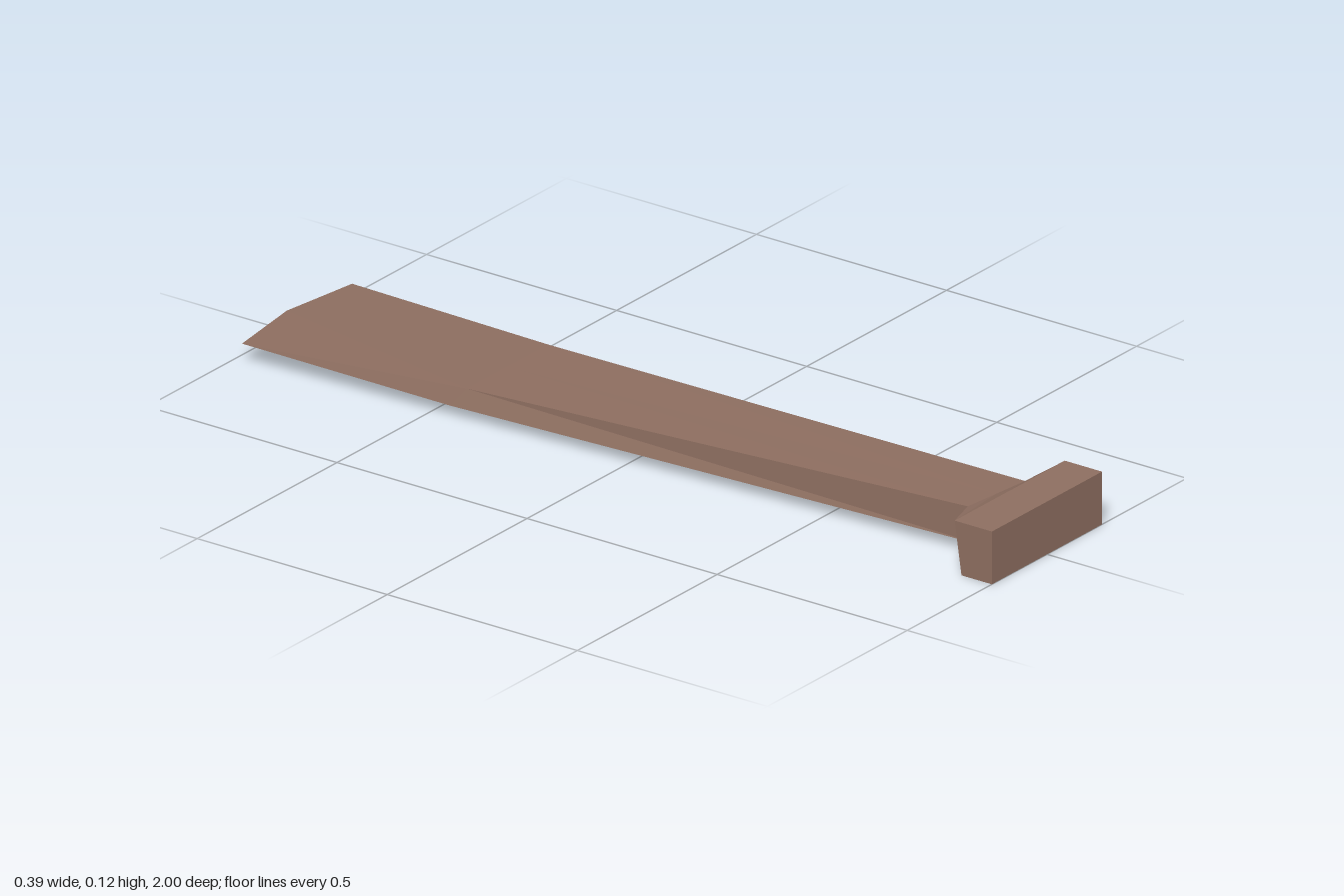
import * as THREE from 'three';

// Ring of six points: top left, centre, right, then bottom right, centre, left
function ring(topX, topY, topZ, lowX, lowY, lowZ, skew = 0, tip = 0) {
  return [
    [-topX, topY, topZ - skew], [0, topY, topZ - tip], [topX, topY, topZ + skew],
    [lowX, lowY, lowZ], [0, lowY, lowZ - tip], [-lowX, lowY, lowZ],
  ];
}

// Skin consecutive rings (front to back), optionally capping the front
function loft(rings, capFront) {
  const pos = [];
  const quad = (a, b, c, d) => pos.push(...a, ...b, ...c, ...a, ...c, ...d);
  for (let r = 0; r < rings.length - 1; r++) {
    const p = rings[r], q = rings[r + 1];
    for (let i = 0; i < 6; i++) {
      const j = (i + 1) % 6;
      quad(p[i], p[j], q[j], q[i]);
    }
  }
  if (capFront) {
    const p = rings[0];
    quad(p[0], p[5], p[4], p[1]);
    quad(p[1], p[4], p[3], p[2]);
  }
  const geo = new THREE.BufferGeometry();
  geo.setAttribute('position', new THREE.Float32BufferAttribute(pos, 3));
  geo.computeVertexNormals();
  return geo;
}

export function createModel() {
  const group = new THREE.Group();
  const brown = new THREE.MeshStandardMaterial({ color: 0x8d6e60 });
  brown.name = 'brown';

  const add = (name, geo) => {
    const mesh = new THREE.Mesh(geo, brown);
    mesh.name = name;
    group.add(mesh);
  };

  const headFront = ring(0.197, 0.122, 1, 0.197, 0, 1);
  const headBack = ring(0.197, 0.122, 0.902, 0.197, 0, 0.92);
  const neck = ring(0.09, 0.106, 0.867, 0.092, 0.027, 0.902, 0.009);
  const bend = ring(0.145, 0.067, -0.42, 0.165, 0.027, -0.45);
  const edge = ring(0.197, 0.046, -0.973, 0.197, 0.046, -0.973, 0, 0.027);

  // Wide block at the front
  add('head', loft([headFront, headBack], true));
  // Bevel from the block into the blade
  add('neck', loft([headBack, neck]));
  // Flaring blade thinning to a sharp pointed edge
  add('blade', loft([neck, bend, edge]));

  return group;
}
